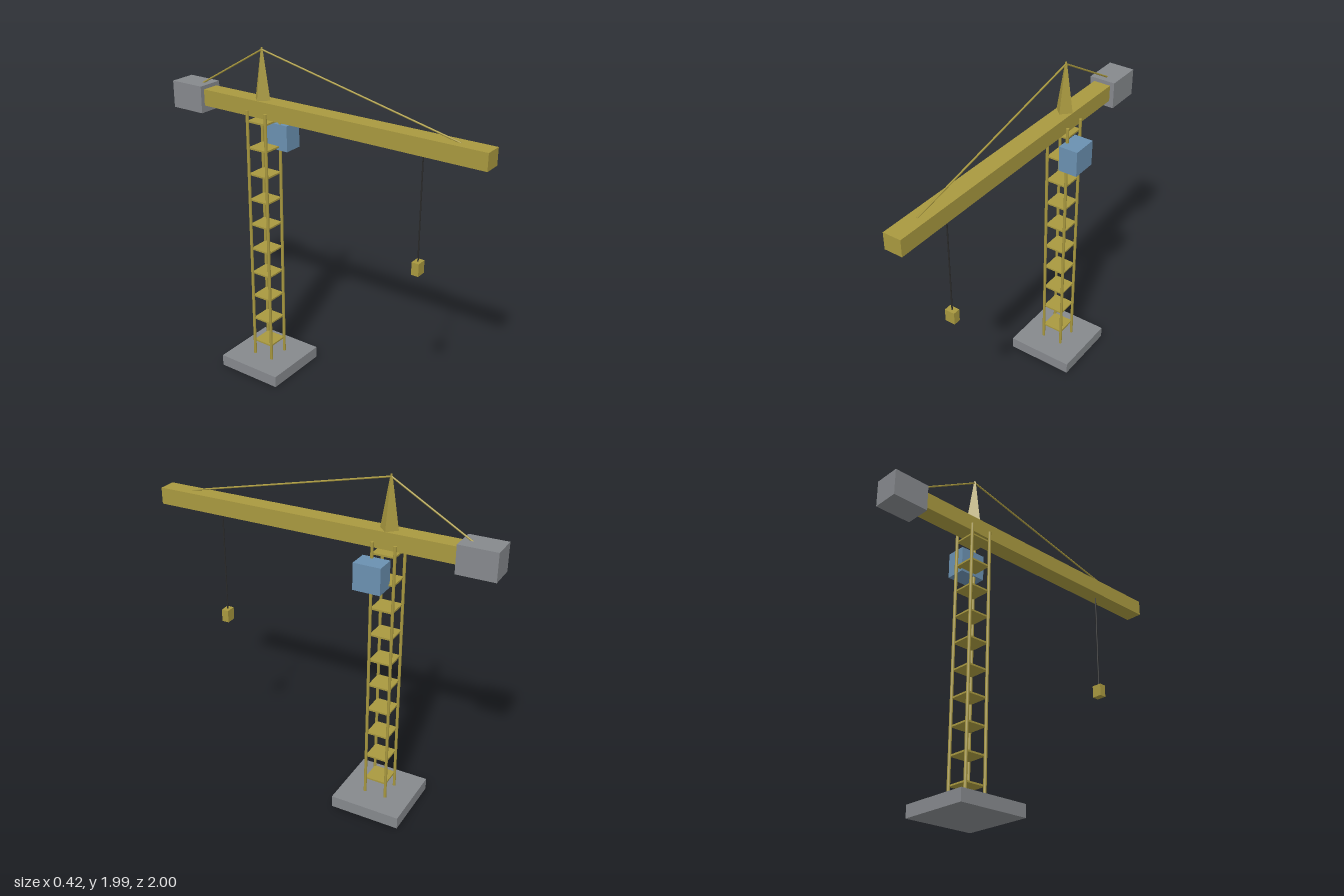
import * as THREE from 'three';

const paint = (name, color) => {
  const m = new THREE.MeshStandardMaterial({ color });
  m.name = name;
  return m;
};

export function createModel() {
  const crane = new THREE.Group();
  crane.name = 'towerCrane';
  const yellow = paint('mustard yellow', 0xa8983f);
  const grey = paint('concrete grey', 0x85888c);
  const blue = paint('cab blue', 0x6a90b0);
  const black = paint('cable black', 0x2a2a2a);
  const Z = -0.395; // tower axis

  const add = (name, geometry, material, x, y, z) => {
    const mesh = new THREE.Mesh(geometry, material);
    mesh.name = name;
    mesh.position.set(x, y, z);
    crane.add(mesh);
    return mesh;
  };
  // box given by its minimum and maximum corners
  const box = (name, material, [x0, y0, z0], [x1, y1, z1]) =>
    add(name, new THREE.BoxGeometry(x1 - x0, y1 - y0, z1 - z0), material,
      (x0 + x1) / 2, (y0 + y1) / 2, (z0 + z1) / 2);
  // round bar between two points
  const bar = (name, material, a, b, radius) => {
    const from = new THREE.Vector3(...a), to = new THREE.Vector3(...b);
    const dir = to.clone().sub(from), mid = from.clone().add(to).multiplyScalar(0.5);
    const mesh = add(name, new THREE.CylinderGeometry(radius, radius, dir.length(), 8),
      material, mid.x, mid.y, mid.z);
    mesh.quaternion.setFromUnitVectors(new THREE.Vector3(0, 1, 0), dir.normalize());
  };

  // foundation
  box('base', grey, [-0.208, 0, Z - 0.208], [0.208, 0.07, Z + 0.208]);

  // mast: four posts and ten thin platforms
  for (const sx of [-1, 1]) for (const sz of [-1, 1]) {
    const x = sx * 0.064, z = Z + sz * 0.064;
    bar('mastPost', yellow, [x, 0.07, z], [x, 1.64, z], 0.009);
  }
  for (let i = 1; i <= 10; i++) {
    const y = 0.006 + i * 0.157;
    box('mastPlatform', yellow, [-0.064, y - 0.005, Z - 0.064], [0.064, y + 0.005, Z + 0.064]);
  }

  // jib, counterweight and cab
  box('jib', yellow, [-0.052, 1.605, -0.84], [0.052, 1.7, 1]);
  box('counterweight', grey, [-0.078, 1.565, -1], [0.078, 1.722, -0.785]);
  box('cab', blue, [0.05, 1.4, -0.43], [0.165, 1.552, -0.273]);

  // four-sided peak with its tie bars
  const peak = new THREE.CylinderGeometry(0.005, 0.052, 0.288, 4).toNonIndexed();
  peak.computeVertexNormals();
  add('peak', peak, yellow, 0, 1.844, Z);
  bar('frontTie', yellow, [0, 1.975, Z], [0, 1.698, 0.83], 0.005);
  bar('rearTie', yellow, [0, 1.975, Z], [0, 1.715, -0.845], 0.005);

  // hoist cable and hook block
  bar('hoistCable', black, [0, 1, 0.625], [0, 1.61, 0.625], 0.004);
  box('hookBlock', yellow, [-0.03, 0.93, 0.604], [0.03, 1.004, 0.647]);

  return crane;
}
